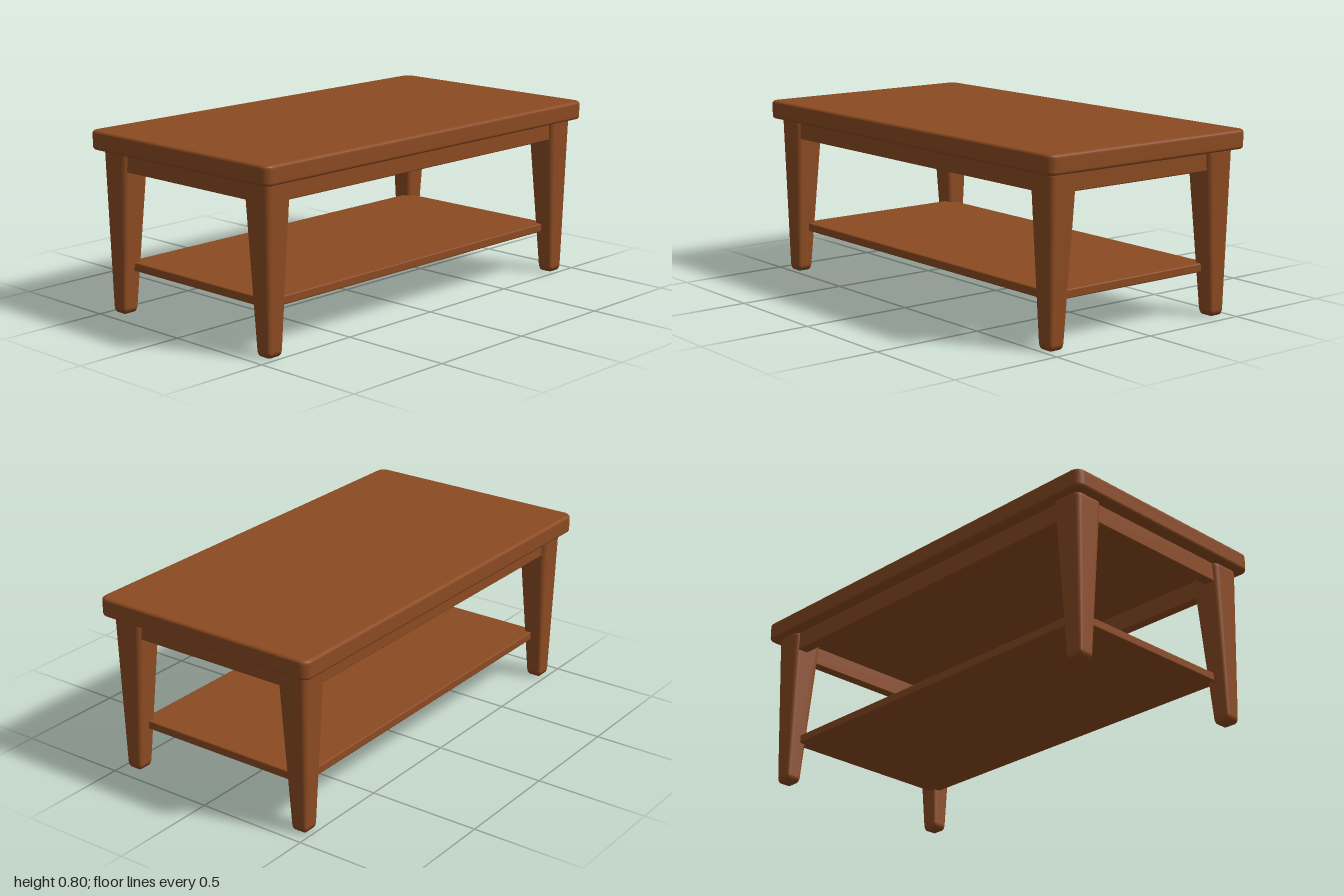
import * as THREE from 'three';
import { RoundedBoxGeometry } from 'three/addons/geometries/RoundedBoxGeometry.js';

const wood = new THREE.MeshStandardMaterial({ color: 0x8b4a21 });
wood.name = 'brown wood';

function addPart(group, name, geometry, x = 0, y = 0, z = 0) {
  const mesh = new THREE.Mesh(geometry, wood);
  mesh.name = name;
  mesh.position.set(x, y, z);
  group.add(mesh);
}

// Rounded rectangle slab with softened edges, standing on y = 0
function slab(width, height, depth, corner, bevel) {
  const w = width / 2 - bevel, d = depth / 2 - bevel, r = corner - bevel;
  const shape = new THREE.Shape();
  shape.absarc(w - r, d - r, r, 0, Math.PI / 2);
  shape.absarc(-w + r, d - r, r, Math.PI / 2, Math.PI);
  shape.absarc(-w + r, -d + r, r, Math.PI, Math.PI * 1.5);
  shape.absarc(w - r, -d + r, r, Math.PI * 1.5, Math.PI * 2);
  const geometry = new THREE.ExtrudeGeometry(shape, {
    depth: height - 2 * bevel, bevelSize: bevel, bevelThickness: bevel,
    bevelSegments: 4, curveSegments: 8,
  });
  return geometry.rotateX(-Math.PI / 2).translate(0, bevel, 0);
}

// Leg with tapered sides: wide at the top, narrow at the rounded foot
function taperedLeg(sx, sz) {
  const height = 0.73;
  const geometry = new RoundedBoxGeometry(1 / 7, height, 1 / 7, 4, 0.028);
  geometry.translate(0, height / 2, 0);
  const p = geometry.attributes.position;
  const lerp = THREE.MathUtils.lerp;
  for (let i = 0; i < p.count; i++) {
    const t = p.getY(i) / height;
    const x = p.getX(i) * 7 * lerp(0.078, 0.142, t) + sx * lerp(0.902, 0.89, t);
    const z = p.getZ(i) * 7 * lerp(0.072, 0.147, t) + sz * lerp(0.445, 0.427, t);
    p.setXYZ(i, x, p.getY(i), z);
  }
  return geometry;
}

export function createModel() {
  const table = new THREE.Group();
  table.name = 'coffeeTable';

  addPart(table, 'tableTop', slab(2, 0.083, 1.076, 0.04, 0.014), 0, 0.714, 0);
  addPart(table, 'lowerShelf', new RoundedBoxGeometry(1.78, 0.038, 0.86, 2, 0.006), 0, 0.207, 0);

  for (const sx of [-1, 1]) {
    for (const sz of [-1, 1]) {
      addPart(table, (sz > 0 ? 'front' : 'back') + (sx > 0 ? 'Left' : 'Right') + 'Leg', taperedLeg(sx, sz));
    }
  }

  // Aprons under the top, set slightly back from the leg faces
  for (const s of [-1, 1]) {
    addPart(table, s > 0 ? 'frontApron' : 'backApron',
      new RoundedBoxGeometry(1.74, 0.1, 0.05, 2, 0.005), 0, 0.68, s * 0.457);
    addPart(table, s > 0 ? 'leftApron' : 'rightApron',
      new RoundedBoxGeometry(0.05, 0.1, 0.82, 2, 0.005), s * 0.917, 0.68, 0);
  }
  return table;
}
